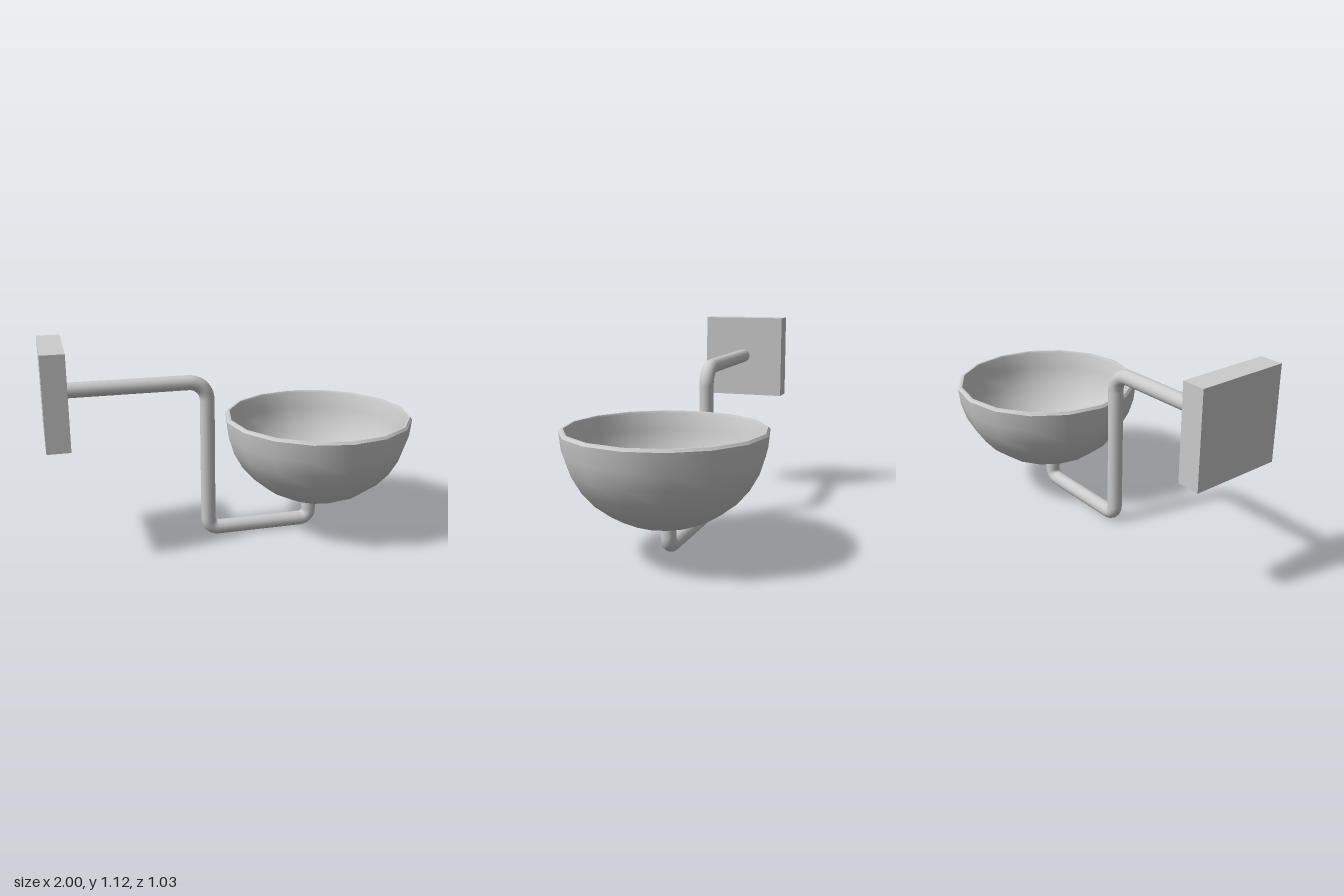
import * as THREE from 'three';
import { toCreasedNormals } from 'three/addons/utils/BufferGeometryUtils.js';

const material = new THREE.MeshStandardMaterial({ color: 0xcccccc });

function addMesh(group, name, geometry, x = 0, y = 0, z = 0) {
  const mesh = new THREE.Mesh(geometry, material);
  mesh.name = name;
  mesh.position.set(x, y, z);
  group.add(mesh);
}

// Straight runs through the corners, each corner rounded by its own radius
function roundedPath(corners) {
  const path = new THREE.CurvePath();
  const points = corners.map(([x, y]) => new THREE.Vector3(x, y, 0));
  let start = points[0];
  for (let i = 1; i < points.length - 1; i++) {
    const p = points[i];
    const radius = corners[i][2];
    const back = points[i - 1].clone().sub(p).normalize();
    const ahead = points[i + 1].clone().sub(p).normalize();
    const at = (dir, d) => p.clone().addScaledVector(dir, d);
    const a = at(back, radius);
    const b = at(ahead, radius);
    path.add(new THREE.LineCurve3(start, a));
    path.add(new THREE.CubicBezierCurve3(a, at(back, radius * 0.448), at(ahead, radius * 0.448), b));
    start = b;
  }
  path.add(new THREE.LineCurve3(start, points[points.length - 1]));
  return path;
}

// Points along a quarter ellipse from the pole to the rim
function quarter(radius, depth, rimY, steps = 8) {
  return Array.from({ length: steps }, (_, i) => {
    const t = ((i / steps) * Math.PI) / 2;
    return new THREE.Vector2(radius * Math.sin(t), rimY - depth * Math.cos(t));
  });
}

export function createModel() {
  const model = new THREE.Group();
  model.name = 'wallBowl';

  // Square wall plate
  addMesh(model, 'wallPlate', new THREE.BoxGeometry(0.12, 0.49, 0.49), -0.94, 0.88, 0);

  // Bent pipe from the plate down and under the bowl
  const path = roundedPath([
    [-0.9, 0.885],
    [-0.145, 0.885, 0.1],
    [-0.145, 0.041, 0.055],
    [0.444, 0.041, 0.05],
    [0.444, 0.178],
  ]);
  addMesh(model, 'supportArm', new THREE.TubeGeometry(path, 160, 0.04, 16, false));

  // Sixteen-sided hollow bowl with a narrow bevelled rim
  const outer = quarter(0.517, 0.487, 0.65);
  const inner = quarter(0.488, 0.462, 0.65).reverse();
  const rim = [[0.517, 0.648], [0.506, 0.661], [0.494, 0.661], [0.488, 0.65]]
    .map(([r, y]) => new THREE.Vector2(r, y));
  const bowl = new THREE.LatheGeometry([...outer, ...rim, ...inner], 16);
  addMesh(model, 'bowl', toCreasedNormals(bowl, 0.6), 0.482, 0, 0);

  return model;
}
